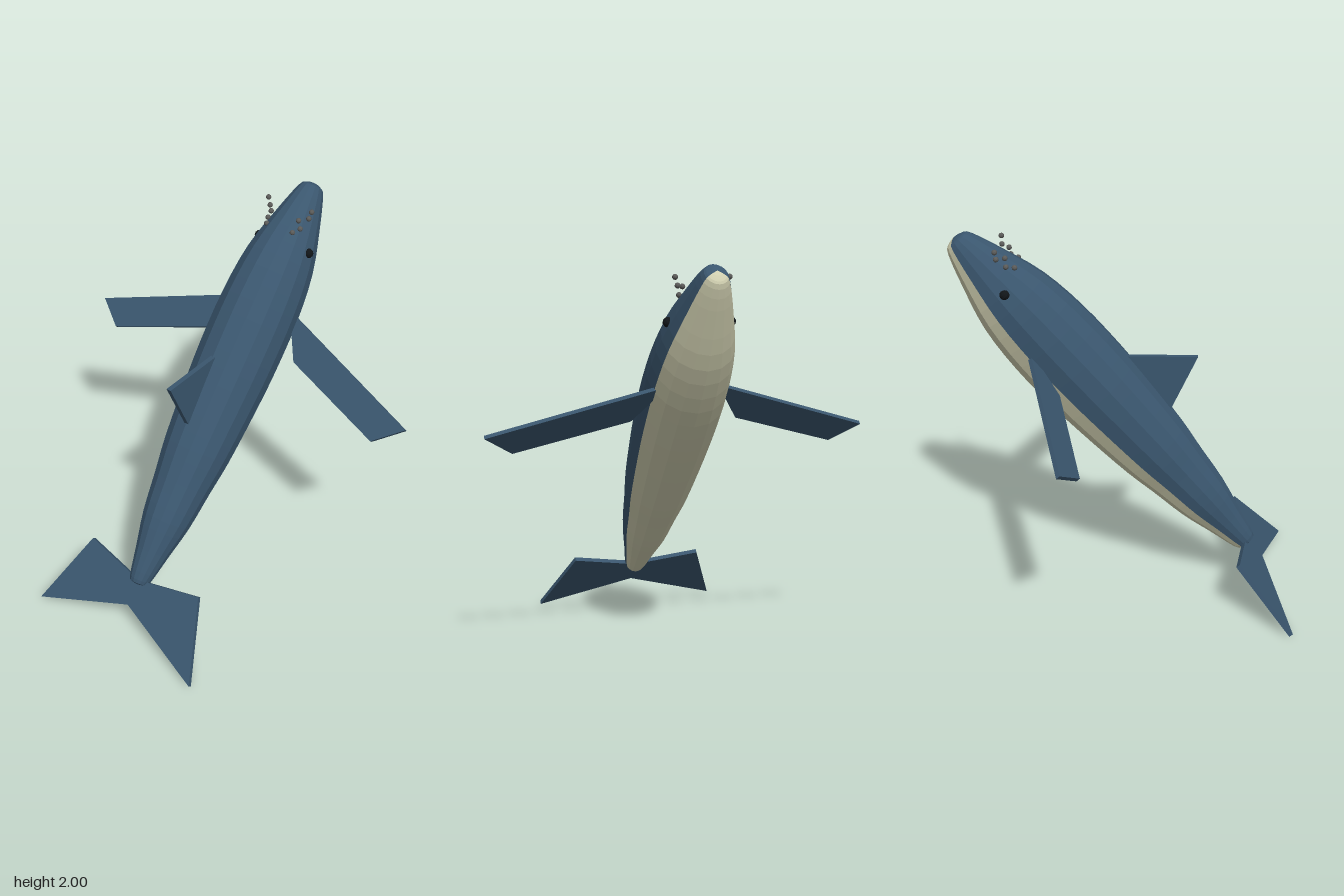
import * as THREE from 'three';

const paint = (color) => new THREE.MeshStandardMaterial({ color, flatShading: true });

export function createModel() {
  const model = new THREE.Group();
  model.name = 'whale';
  const blue = paint(0x3a566e), cream = paint(0xd0cfb0), black = paint(0x111518), grey = paint(0x5a5a58);

  // Everything is built along a straight body: nose to +x, back to +y; then tilted upward
  const whale = new THREE.Group();
  whale.name = 'leapingWhale';
  whale.rotation.z = 0.85;
  whale.position.set(-0.503, 0.4415, 0);
  model.add(whale);

  const add = (name, geometry, material, x = 0, y = 0, z = 0) => {
    const mesh = new THREE.Mesh(geometry, material);
    mesh.name = name;
    mesh.position.set(x, y, z);
    whale.add(mesh);
    return mesh;
  };

  // Body profile: [radius, distance along the body], rounded at tail and nose
  const profile = new THREE.SplineCurve([
    [0, -0.25], [0.04, -0.24], [0.066, -0.215], [0.105, -0.05], [0.148, 0.13], [0.177, 0.34],
    [0.205, 0.53], [0.228, 0.8], [0.242, 1.06], [0.24, 1.35], [0.21, 1.61], [0.14, 1.84],
    [0.08, 2.0], [0.045, 2.033], [0, 2.043],
  ].map(([r, s]) => new THREE.Vector2(r, s))).getPoints(42);
  profile.forEach((p) => { p.x = Math.max(p.x, 0); });

  // Back and belly are two sectors of one sixteen-sided body, a little narrower than tall
  const sector = (name, material, start, sides) => {
    const g = new THREE.LatheGeometry(profile, sides, start * Math.PI / 8, sides * Math.PI / 8);
    g.rotateZ(-Math.PI / 2).scale(1, 1, 0.85);
    add(name, g, material);
  };
  sector('back', blue, 7, 10);
  sector('belly', cream, 1, 6);

  // Thin plate from an outline, centred on its own thickness
  const plate = (outline, depth) => {
    const shape = new THREE.Shape(outline.map(([x, y]) => new THREE.Vector2(x, y)));
    return new THREE.ExtrudeGeometry(shape, { depth, bevelEnabled: false }).translate(0, 0, -depth / 2);
  };

  // Dorsal fin
  add('dorsalFin', plate([[0.62, 0.16], [1.08, 0.16], [0.777, 0.507]], 0.026), blue);

  // Tail fluke, lying flat
  add('tailFluke', plate([
    [-0.225, 0], [-0.148, 0.36], [-0.573, 0.515], [-0.368, 0], [-0.573, -0.515], [-0.148, -0.36],
  ], 0.024).rotateX(Math.PI / 2), blue);

  for (const [side, m] of [['left', 1], ['right', -1]]) {
    // Flipper, swept back
    const outline = [[1.41, 0.08], [1.061, 0.98], [0.941, 0.835], [1.15, 0.27], [1.32, 0.17], [1.34, 0.08]];
    add(side + 'Flipper', plate(outline.map(([s, z]) => [s, z * m]), 0.022).rotateX(Math.PI / 2),
      blue, 0, -0.09, 0);
  }

  // Eyes and head bumps, placed in upright coordinates and brought into the body's frame
  whale.updateMatrix();
  const inverse = whale.matrix.clone().invert();
  const ball = (name, r, material, x, y, z) => {
    const p = new THREE.Vector3(x, y, z).applyMatrix4(inverse);
    add(name, new THREE.SphereGeometry(r, 10, 8), material, p.x, p.y, p.z);
  };
  const bumps = [[0.54, 1.85, 0.08], [0.58, 1.86, 0.1], [0.585, 1.9, 0.085], [0.625, 1.905, 0.12], [0.628, 1.945, 0.133]];
  for (const [side, m] of [['left', 1], ['right', -1]]) {
    ball(side + 'Eye', 0.025, black, 0.585, 1.735, 0.155 * m);
    bumps.forEach(([x, y, z], i) => ball(side + 'Barnacle' + (i + 1), 0.014, grey, x, y, z * m));
  }
  return model;
}
